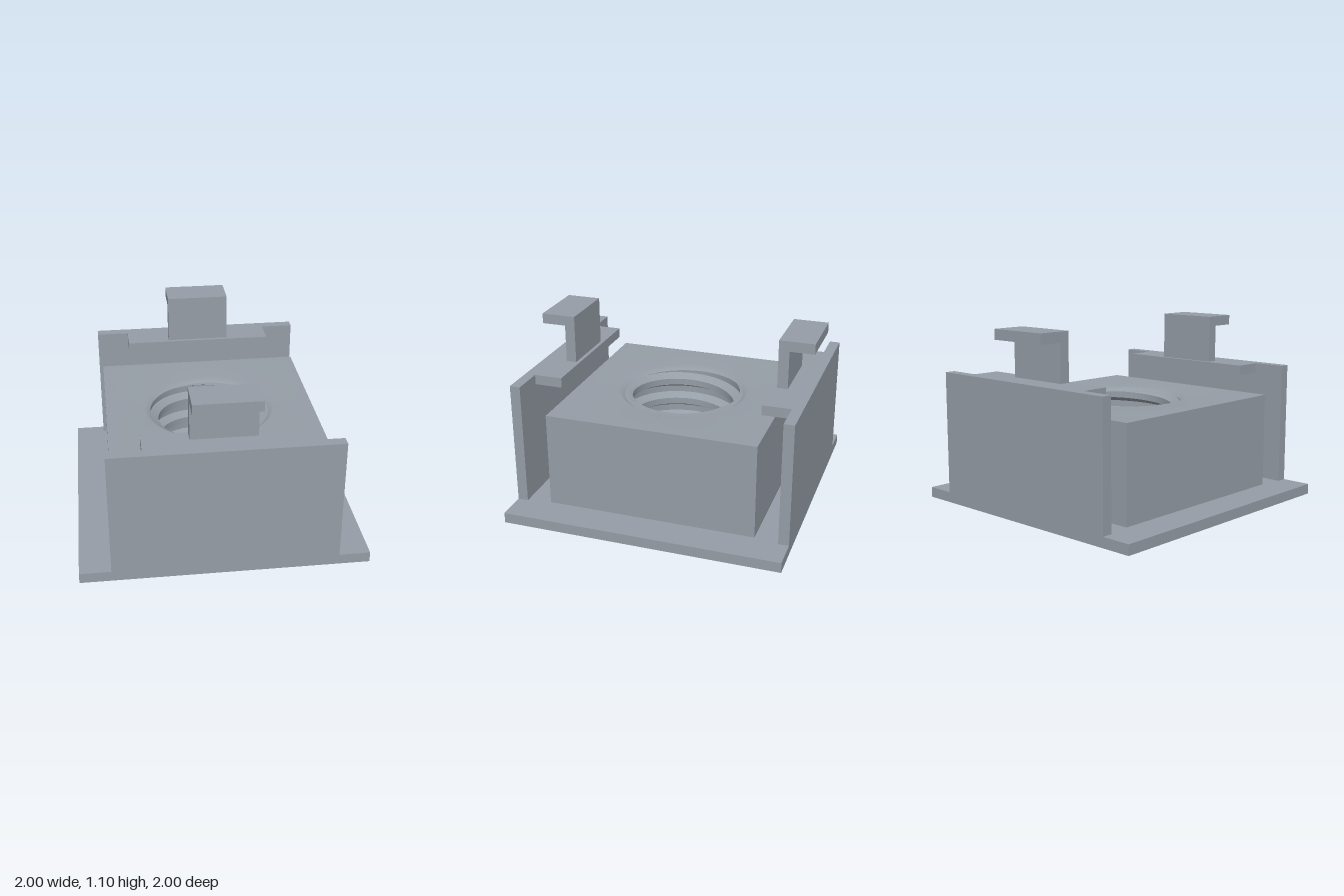
import * as THREE from 'three';
import { toCreasedNormals } from 'three/addons/utils/BufferGeometryUtils.js';

const BASE = 0.843, BLOCK = 0.6365;          // half widths of the square plate and block
const PLATE_Y = 0.063, BLOCK_Y = 0.64;
const PITCH = 0.135, CREST = 0.315, ROOT = 0.365, THREAD_LOW = 0.12, THREAD_HIGH = 0.615;
const SEGMENTS = 96;

// Rings: each returns [radius, height] at an angle
const circle = (r, y) => () => [r, y];
const square = (half, y) => (a) => [half / Math.max(Math.abs(Math.cos(a)), Math.abs(Math.sin(a))), y];

// Skin a list of rings; rising rings face outward, falling rings face the axis
function skin(rings, smooth) {
  const pos = [], index = [], w = SEGMENTS + 1;
  rings.forEach((ring, i) => {
    for (let j = 0; j < w; j++) {
      const a = (j / SEGMENTS) * Math.PI * 2;
      const [r, y] = ring(a);
      pos.push(r * Math.cos(a), y, -r * Math.sin(a));
      if (i < rings.length - 1 && j < SEGMENTS) {
        const p = i * w + j, q = p + w;
        index.push(p, p + 1, q, p + 1, q + 1, q);
      }
    }
  });
  const g = new THREE.BufferGeometry();
  g.setAttribute('position', new THREE.Float32BufferAttribute(pos, 3));
  g.setIndex(index);
  if (smooth) {
    g.computeVertexNormals();
    return g;
  }
  return toCreasedNormals(g, 0.5);
}

// Helical thread: trapezoid profile that climbs one pitch per turn
function threadRings() {
  const steps = [0, 0.3, 0.5, 0.8];
  const radius = (t) => {
    const f = t - Math.floor(t);
    if (f < 0.3) return ROOT;
    if (f < 0.5) return THREE.MathUtils.lerp(ROOT, CREST, (f - 0.3) / 0.2);
    if (f < 0.8) return CREST;
    return THREE.MathUtils.lerp(CREST, ROOT, (f - 0.8) / 0.2);
  };
  const rings = [circle(ROOT, THREAD_HIGH)];
  for (let k = 5; k >= -1; k--) {
    for (const s of [...steps].reverse()) {
      rings.push((a) => {
        const turn = a / (Math.PI * 2);
        const y = THREE.MathUtils.clamp(THREAD_LOW + PITCH * (k + s + turn), THREAD_LOW, THREAD_HIGH);
        return [radius((y - THREAD_LOW) / PITCH - turn + 1e-6), y];
      });
    }
  }
  rings.push(circle(ROOT, THREAD_LOW));
  return rings;
}

export function createModel() {
  const model = new THREE.Group();
  model.name = 'threadedClipHousing';
  const grey = new THREE.MeshStandardMaterial({ color: 0x959da6 });
  grey.name = 'blue grey';

  const add = (parent, name, geometry) => {
    const mesh = new THREE.Mesh(geometry, grey);
    mesh.name = name;
    parent.add(mesh);
    return mesh;
  };
  // Box given by its limits: half width, then y and z ranges
  const addBox = (parent, name, half, y0, y1, z0, z1) => {
    const mesh = add(parent, name, new THREE.BoxGeometry(half * 2, y1 - y0, z1 - z0));
    mesh.position.set(0, (y0 + y1) / 2, (z0 + z1) / 2);
  };

  // Plate with a round opening, and the block standing on it
  add(model, 'basePlate', skin([
    circle(0.47, 0), square(BASE, 0), square(BASE, PLATE_Y), square(BLOCK, PLATE_Y),
  ]));
  add(model, 'blockSides', skin([square(BLOCK, PLATE_Y), square(BLOCK, BLOCK_Y)]));
  add(model, 'blockTop', skin([
    square(BLOCK, BLOCK_Y), circle(0.4, BLOCK_Y), circle(ROOT, THREAD_HIGH),
  ], true));

  // Bore: thread, then the flared recess below it
  add(model, 'thread', skin(threadRings()));
  add(model, 'recess', skin([circle(ROOT, THREAD_LOW), circle(0.47, PLATE_Y), circle(0.47, 0)]));

  // Two opposite side walls, each with a ledge and an outward hook
  for (const [side, turn] of [['front', 0], ['back', Math.PI]]) {
    const wall = new THREE.Group();
    wall.name = side + 'ClipWall';
    wall.rotation.y = turn;
    addBox(wall, 'wall', 0.66, PLATE_Y, 0.81, 0.78, BASE);
    addBox(wall, 'ledge', 0.46, 0.75, 0.81, 0.61, 0.78);
    addBox(wall, 'hookStem', 0.193, 0.81, 1.04, 0.633, 0.696);
    addBox(wall, 'hookTop', 0.193, 1.04, 1.102, 0.633, BASE);
    model.add(wall);
  }

  // The whole housing stands turned by twelve degrees
  model.rotation.y = -THREE.MathUtils.degToRad(12);
  const root = new THREE.Group();
  root.name = 'housing';
  root.add(model);
  return root;
}
